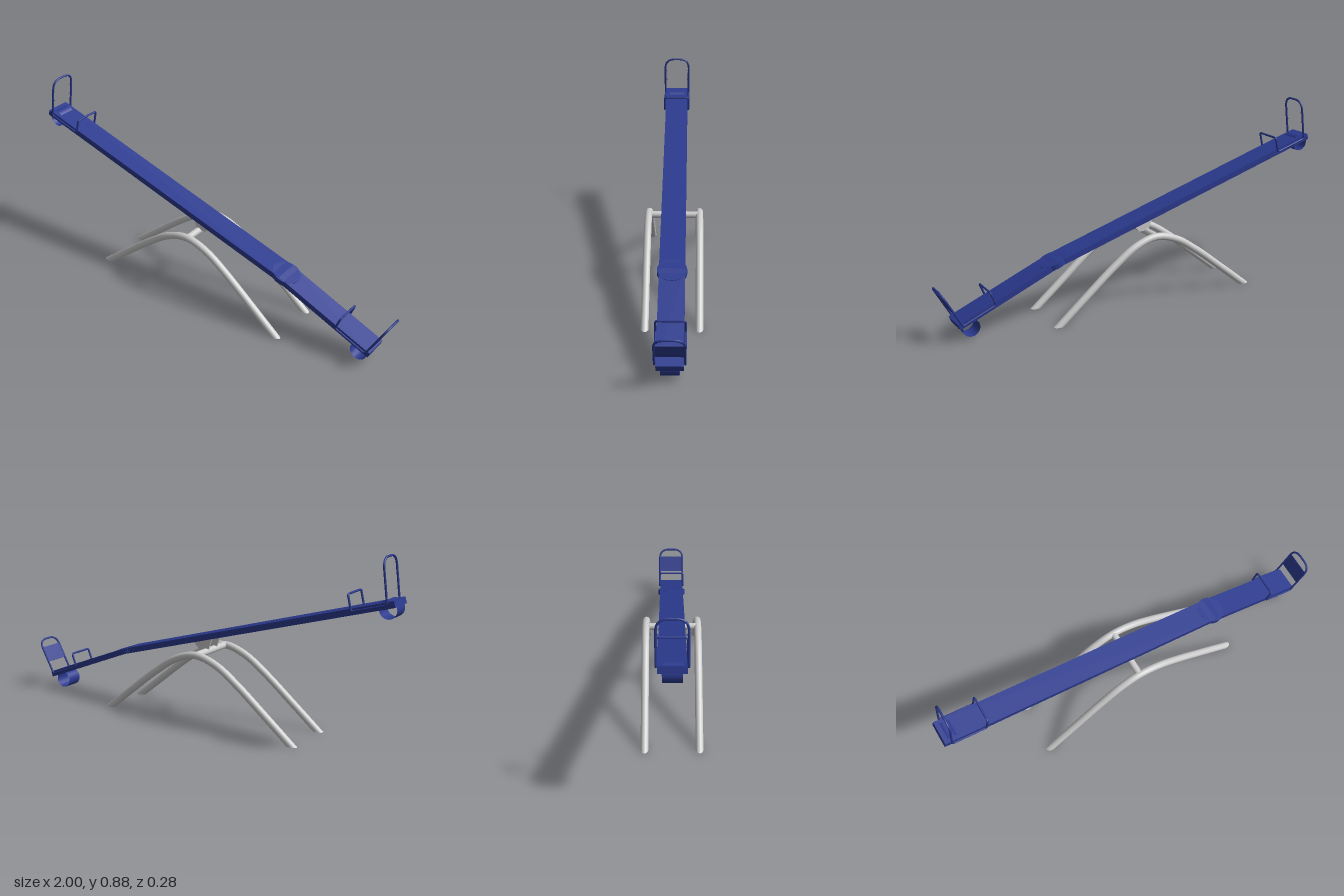
import * as THREE from 'three';

const V = (x, y, z = 0) => new THREE.Vector3(x, y, z);

export function createModel() {
  const model = new THREE.Group();
  const grey = new THREE.MeshStandardMaterial({ color: 0xcccccc });
  const blue = new THREE.MeshStandardMaterial({ color: 0x2b3a8f });
  const blueThin = new THREE.MeshStandardMaterial({ color: 0x2b3a8f, side: THREE.DoubleSide });

  const add = (name, geometry, material, parent = model) => {
    const mesh = new THREE.Mesh(geometry, material);
    mesh.name = name;
    parent.add(mesh);
    return mesh;
  };

  // Side outline extruded across the width, centred on z
  const slab = (points, width) => {
    const shape = new THREE.Shape(points.map(([x, y]) => new THREE.Vector2(x, y)));
    return new THREE.ExtrudeGeometry(shape, { depth: width, bevelEnabled: false })
      .translate(0, 0, -width / 2);
  };

  // Closed loop of straight runs with rounded corners: [point, corner radius]
  const roundedLoop = (corners) => {
    const path = new THREE.CurvePath();
    const n = corners.length;
    const cut = (i, j) => {
      const [p, r] = corners[i];
      return p.clone().add(corners[j][0].clone().sub(p).setLength(r));
    };
    for (let i = 0; i < n; i++) {
      const next = (i + 1) % n, prev = (i + n - 1) % n;
      path.add(new THREE.QuadraticBezierCurve3(cut(i, prev), corners[i][0], cut(i, next)));
      path.add(new THREE.LineCurve3(cut(i, next), cut(next, i)));
    }
    return path;
  };

  // Support arches, with feet sliced level with the ground
  const half = [[0.515, 0], [0.37, 0.118], [0.225, 0.233], [0.11, 0.308]];
  const cx = -0.05, radius = 0.0175, sides = 20, steps = 44;
  const archPoints = [
    ...half.map(([x, y]) => V(cx - x, y)), V(cx, 0.338),
    ...half.slice().reverse().map(([x, y]) => V(cx + x, y)),
  ];
  const archCurve = new THREE.CatmullRomCurve3(archPoints);
  const archGeometry = new THREE.TubeGeometry(archCurve, steps, radius, sides);
  const pos = archGeometry.attributes.position;
  const footOutlines = [0, 1].map((end) => {
    const t = archCurve.getTangentAt(end);
    const outline = [];
    for (let j = 0; j <= sides; j++) {
      const k = end * steps * (sides + 1) + j;
      const shift = -pos.getY(k) / t.y;
      pos.setXYZ(k, pos.getX(k) + t.x * shift, 0, pos.getZ(k));
      if (j < sides) outline.push(new THREE.Vector2(pos.getX(k), pos.getZ(k)));
    }
    return outline;
  });
  for (const z of [0.1225, -0.1225]) {
    const arch = new THREE.Group();
    arch.name = 'supportArch';
    arch.position.z = z;
    model.add(arch);
    add('archTube', archGeometry, grey, arch);
    for (const outline of footOutlines) {
      add('footCap', new THREE.ShapeGeometry(new THREE.Shape(outline)).rotateX(Math.PI / 2), grey, arch);
    }
  }

  // Crossbar joining the arches, and the pivot plates on it
  add('crossbar', new THREE.CylinderGeometry(0.0165, 0.0165, 0.245, 20).rotateX(Math.PI / 2), grey)
    .position.set(cx, 0.338, 0);
  const plate = slab([[-0.06, 0.345], [-0.01, 0.345], [0.03, 0.385], [-0.085, 0.418]], 0.008);
  for (const z of [0.035, -0.035]) add('pivotPlate', plate, grey).position.z = z;

  // Cranked plank
  add('plank', slab([
    [-1, 0.672], [0.425, 0.258], [0.913, 0.06], [0.923, 0.086], [0.43, 0.285], [-0.992, 0.7],
  ], 0.116), blue);

  // Round joint at the bend of the plank
  const joint = add('plankJoint', new THREE.CylinderGeometry(0.067, 0.067, 0.024, 32), blue);
  joint.position.set(0.432, 0.27, 0);
  joint.rotation.z = -0.33;

  // Seat ends: rail loop (backrest hoop, side rails, hand grip) and rubber bumper ring
  const ends = [
    { name: 'upperSeat', base: V(-0.965, 0.679), top: V(-0.94, 0.875),
      gripBase: V(-0.803, 0.632), gripTop: V(-0.786, 0.706), bumper: V(-0.96, 0.655), panel: false },
    { name: 'lowerSeat', base: V(0.902, 0.08), top: V(0.994, 0.246),
      gripBase: V(0.743, 0.145), gripTop: V(0.768, 0.208), bumper: V(0.855, 0.051), panel: true },
  ];
  for (const e of ends) {
    const seat = new THREE.Group();
    seat.name = e.name;
    model.add(seat);

    const at = (p, z) => V(p.x, p.y, z);
    const w = 0.063;
    add('railLoop', new THREE.TubeGeometry(roundedLoop([
      [at(e.top, w), 0.05], [at(e.top, -w), 0.05],
      [at(e.base, -w), 0.012], [at(e.gripBase, -w), 0.012],
      [at(e.gripTop, -w), 0.012], [at(e.gripTop, w), 0.012],
      [at(e.gripBase, w), 0.012], [at(e.base, w), 0.012],
    ]), 300, 0.005, 8, true), blue, seat);

    // Backrest panel, or the bare fixing tabs for one
    const up = e.top.clone().sub(e.base);
    const tilt = Math.atan2(-up.x, up.y);
    if (e.panel) {
      const panel = add('backPanel', new THREE.BoxGeometry(0.004, up.length() * 0.43, 0.12), blue, seat);
      panel.position.copy(e.base).addScaledVector(up, 0.57);
      panel.rotation.z = tilt;
    } else {
      for (const t of [0.42, 0.68]) for (const side of [1, -1]) {
        const tab = add('fixingTab', new THREE.BoxGeometry(0.004, 0.003, 0.008), blue, seat);
        tab.position.copy(e.base).addScaledVector(up, t).setZ(side * 0.057);
        tab.rotation.z = tilt;
      }
    }

    add('bumperRing', new THREE.CylinderGeometry(0.041, 0.041, 0.08, 32, 1, true).rotateX(Math.PI / 2),
      blueThin, seat).position.copy(e.bumper);
  }

  return model;
}
